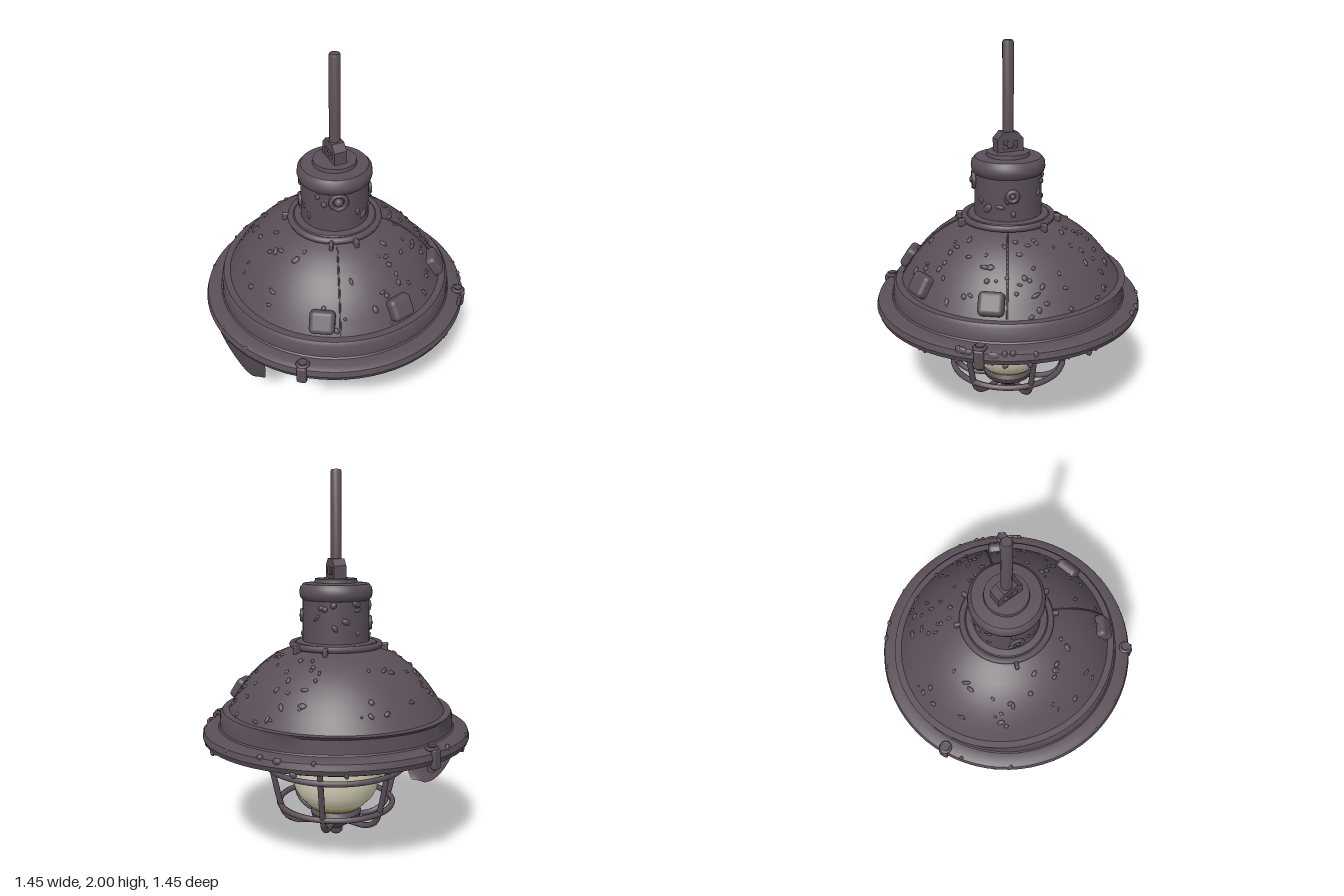
import * as THREE from 'three';
import { toCreasedNormals } from 'three/addons/utils/BufferGeometryUtils.js';
import { RoundedBoxGeometry } from 'three/addons/geometries/RoundedBoxGeometry.js';
import { ParametricGeometry } from 'three/addons/geometries/ParametricGeometry.js';

const V2 = (x, y) => new THREE.Vector2(x, y);
const V3 = (x, y, z) => new THREE.Vector3(x, y, z);

export function createModel() {
  const group = new THREE.Group();
  const material = (name, color, side = THREE.FrontSide) => {
    const m = new THREE.MeshStandardMaterial({ color, side });
    m.name = name;
    return m;
  };
  const metal = material('dark metal', 0x5a4f58, THREE.DoubleSide);
  const glass = material('cream glass', 0xdcd7be);
  const brass = material('aged brass', 0xc9b377);

  let seed = 11;
  const rand = (a = 0, b = 1) => {
    seed = (seed * 16807) % 2147483647;
    return a + (b - a) * seed / 2147483647;
  };
  const add = (name, geo, mat = metal, parent = group) => {
    const mesh = new THREE.Mesh(geo, mat);
    mesh.name = name;
    parent.add(mesh);
    return mesh;
  };
  const lathe = (pts, seg = 48) => new THREE.LatheGeometry(pts.map(p => V2(...p)), seg);
  // Angle a runs from +z towards +x
  const polar = (r, a, y) => V3(r * Math.sin(a), y, r * Math.cos(a));
  // Places a mesh with its z axis along a direction
  const face = (mesh, pos, dir) => {
    mesh.position.copy(pos);
    mesh.lookAt(pos.clone().add(dir));
    return mesh;
  };

  // Domed shade: hollow inside, rounded rim, step, then the outer dome
  const inside = [[0.18, 1.04], [0.32, 0.99], [0.44, 0.9], [0.52, 0.79], [0.57, 0.68], [0.6, 0.6]];
  const rim = [[0.63, 0.575], [0.69, 0.57], [0.715, 0.58], [0.724, 0.605], [0.715, 0.635], [0.69, 0.648], [0.64, 0.648],
    [0.633, 0.655], [0.628, 0.725], [0.615, 0.742]];
  const dome = [[0.58, 0.742], [0.54, 0.81], [0.505, 0.86], [0.46, 0.915], [0.405, 0.968], [0.34, 1.017], [0.27, 1.055], [0.17, 1.09]];
  const bulge = (y, z) => z < 0 && y > 0.73 ? z * 1.06 : z; // fuller at the back
  const shadeGeo = lathe([...inside, ...rim, ...dome], 72);
  const sp = shadeGeo.attributes.position;
  for (let i = 0; i < sp.count; i++) {
    if (i % 24 >= inside.length) sp.setZ(i, bulge(sp.getY(i), sp.getZ(i)));
  }
  add('shade', toCreasedNormals(shadeGeo, 0.6));

  const domeCurve = new THREE.SplineCurve(dome.map(p => V2(...p)));
  const onDome = (a, t) => {
    const p = domeCurve.getPoint(t), d = domeCurve.getTangent(t);
    const pos = polar(p.x, a, p.y);
    pos.z = bulge(pos.y, pos.z);
    return { pos, normal: polar(d.y, a, -d.x) };
  };

  // Three square studs across the front of the dome
  for (const [x, z] of [[-0.28, 0.46], [0.12, 0.53], [0.47, 0.29]]) {
    const s = onDome(Math.atan2(x, z), 0.14);
    face(add('squareStud', new RoundedBoxGeometry(0.13, 0.12, 0.085, 3, 0.025)), s.pos, s.normal);
  }

  // Raised seams down the dome
  for (const a of [-0.38, 1.16]) {
    const pts = [0.02, 0.25, 0.5, 0.75, 0.95].map(t => onDome(a, t).pos);
    add('domeSeam', new THREE.TubeGeometry(new THREE.CatmullRomCurve3(pts), 20, 0.005, 5));
  }

  // Collar ring with clips
  const collar = add('collarRing', new THREE.TorusGeometry(0.235, 0.018, 8, 48));
  collar.rotation.x = Math.PI / 2;
  collar.position.y = 1.085;
  for (const a of [-2.0, 2.63, 1.95, 0, -0.5]) {
    face(add('collarClip', new RoundedBoxGeometry(0.022, 0.045, 0.06, 2, 0.008)), polar(0.252, a, 1.075), polar(1, a, 0));
  }

  // Neck with a bulging cap
  add('neck', toCreasedNormals(lathe([[0.235, 1.075], [0.215, 1.1], [0.18, 1.105], [0.178, 1.325], [0.19, 1.335],
    [0.196, 1.36], [0.192, 1.39], [0.175, 1.41], [0.115, 1.415], [0.112, 1.435], [0.07, 1.438], [0, 1.438]]), 0.7));
  for (const [a, y, r] of [[-0.32, 1.285, 0.04], [1.3, 1.24, 0.025], [-1.9, 1.2, 0.028]]) {
    const stud = new THREE.Group();
    stud.name = 'neckStud';
    face(stud, polar(0.182, a, y), polar(1, a, 0));
    add('studRing', new THREE.TorusGeometry(r, 0.013, 6, 16), metal, stud);
    add('studHead', new THREE.SphereGeometry(r * 0.6, 10, 8), metal, stud);
    group.add(stud);
  }

  // Hanger bracket and rod
  const b = new THREE.Shape([V2(-0.072, 1.43), V2(0.072, 1.43), V2(0.072, 1.505), V2(0.04, 1.54), V2(-0.04, 1.54), V2(-0.072, 1.505)]);
  b.holes.push(new THREE.Path([V2(-0.04, 1.455), V2(-0.04, 1.495), V2(0.04, 1.495), V2(0.04, 1.455)]));
  const bracket = add('hangerBracket', new THREE.ExtrudeGeometry(b, { depth: 0.068, bevelEnabled: false }));
  bracket.rotation.y = Math.PI / 2;
  bracket.position.x = -0.034;
  const pin = add('hangerPin', new THREE.CylinderGeometry(0.02, 0.02, 0.06, 10));
  pin.rotation.z = Math.PI / 2;
  pin.position.y = 1.475;
  add('rod', toCreasedNormals(lathe([[0, 1.5], [0.029, 1.5], [0.029, 1.99], [0.024, 2], [0, 2]], 14), 0.7));

  // Lamp glass, socket, brass seat and bottom cap
  add('socket', new THREE.CylinderGeometry(0.2, 0.25, 0.36, 32)).position.y = 0.88;
  add('glass', lathe([[0.175, 0.205], [0.205, 0.235], [0.23, 0.28], [0.247, 0.34], [0.255, 0.42], [0.26, 0.55], [0.26, 0.7], [0.24, 0.71]]), glass);
  add('brassSeat', lathe([[0.11, 0.165], [0.145, 0.175], [0.176, 0.206]]), brass);
  add('bottomCap', toCreasedNormals(lathe([[0, 0], [0.025, 0.008], [0.037, 0.022], [0.038, 0.045], [0.055, 0.06], [0.1, 0.088],
    [0.135, 0.115], [0.142, 0.14], [0.13, 0.165], [0.1, 0.178], [0, 0.18]], 32), 0.7));

  // Cage: two hoops and six bent bars with mounting feet
  for (const [y, r] of [[0.42, 0.375], [0.2, 0.315]]) {
    const hoop = add('cageHoop', new THREE.TorusGeometry(r, 0.016, 8, 56));
    hoop.rotation.x = Math.PI / 2;
    hoop.position.y = y;
  }
  const barProfile = [[0.42, 0.68], [0.395, 0.57], [0.355, 0.38], [0.312, 0.2], [0.285, 0.145], [0.22, 0.108], [0.1, 0.1]];
  for (let i = 0; i < 6; i++) {
    const a = Math.PI / 2 + i * Math.PI / 3;
    const path = new THREE.CatmullRomCurve3(barProfile.map(([r, y]) => polar(r, a, y)));
    add('cageBar', new THREE.TubeGeometry(path, 28, 0.016, 8));
    face(add('cageFoot', new RoundedBoxGeometry(0.12, 0.03, 0.17, 2, 0.01)), polar(0.49, a, 0.685), polar(1, a, 0));
  }

  // Torn flap hanging under the rim: rows of [y, back x, back z, front x, front z]
  const rows = [[0.61, -0.7, -0.15, -0.57, 0.31], [0.45, -0.68, -0.09, -0.54, 0.27], [0.32, -0.645, -0.03, -0.525, 0.23],
    [0.24, -0.605, 0.03, -0.52, 0.19], [0.21, -0.575, 0.08, -0.525, 0.15]];
  const edges = [1, 3].map(k => new THREE.CatmullRomCurve3(rows.map(r => V3(r[k], r[0], r[k + 1]))));
  for (const offset of [0, 0.02]) {
    add('tornFlap', new ParametricGeometry((u, v, out) => {
      const swell = Math.sin(Math.PI * u) * (0.02 + offset) * (1 - v * 0.5);
      out.copy(edges[0].getPoint(v)).lerp(edges[1].getPoint(v), u);
      out.x -= swell;
      out.z += swell * 0.3;
    }, 12, 16));
  }

  // Rim bolts with washers
  for (const [x, z] of [[-0.29, -0.64], [-0.43, 0.55], [0.56, 0.38]]) {
    const a = Math.atan2(x, z);
    const bolt = add('rimBolt', new THREE.CylinderGeometry(0.022, 0.022, 0.13, 12));
    bolt.position.copy(polar(0.695, a, 0.605));
    const washer = add('rimWasher', new THREE.TorusGeometry(0.026, 0.01, 6, 14));
    washer.rotation.x = Math.PI / 2;
    washer.position.copy(polar(0.695, a, 0.655));
    face(add('rimClasp', new RoundedBoxGeometry(0.05, 0.1, 0.03, 2, 0.01)), polar(0.72, a, 0.605), polar(1, a, 0));
  }

  // Corrosion lumps on dome, neck and rim
  const lumpGeo = new THREE.IcosahedronGeometry(1, 1);
  const lump = (pos, dir, size) => {
    const m = face(add('rustLump', lumpGeo), pos, dir);
    m.rotateZ(rand(0, 6.28));
    m.scale.set(size * rand(0.7, 1.4), size * rand(0.5, 0.9), size * 0.55);
  };
  for (let i = 0; i < 95; i++) {
    const a = i < 60 ? rand(0.1, 2.6) : rand(2.6, 6.3);
    const s = onDome(a, rand(0.03, 0.8));
    lump(s.pos, s.normal, rand(0.01, 0.02));
  }
  for (let i = 0; i < 24; i++) {
    const a = rand(0, 6.28);
    lump(polar(0.178, a, rand(1.13, 1.33)), polar(1, a, 0), rand(0.012, 0.024));
  }
  for (let i = 0; i < 60; i++) {
    const a = i < 35 ? rand(0.5, 2.4) : rand(2.4, 6.8);
    lump(polar(0.71, a, rand(0.572, 0.64)), polar(1, a, 0), rand(0.012, 0.026));
  }
  return group;
}
